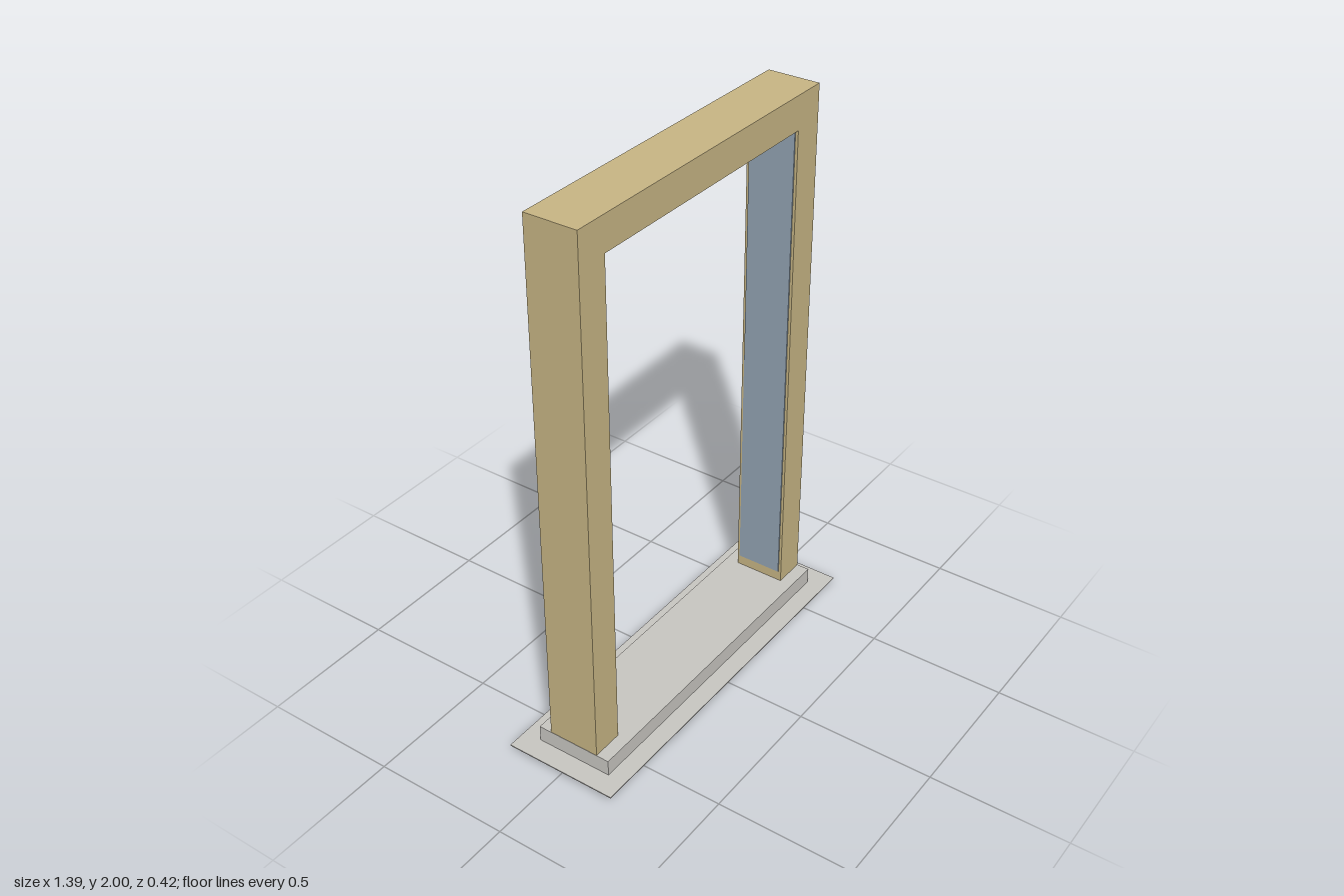
import * as THREE from 'three';

export function createModel() {
  const group = new THREE.Group();
  group.name = 'doorFrame';

  const material = (name, color) => {
    const m = new THREE.MeshStandardMaterial({ color });
    m.name = name;
    return m;
  };
  const wood = material('paleWood', 0xc8b685);
  const stone = material('greyStone', 0xc9c7c2);
  const lining = material('blueGreyLining', 0x93a4b3);

  // Box given by its limits in x, y and z
  const box = (name, mat, [x0, x1], [y0, y1], [z0, z1]) => {
    const mesh = new THREE.Mesh(new THREE.BoxGeometry(x1 - x0, y1 - y0, z1 - z0), mat);
    mesh.position.set((x0 + x1) / 2, (y0 + y1) / 2, (z0 + z1) / 2);
    mesh.name = name;
    group.add(mesh);
    return mesh;
  };

  const outer = 0.617, inner = 0.5, depth = 0.095, headBottom = 1.88;

  // Surround: a single upside-down U extruded through the wall depth
  const outline = new THREE.Shape([
    [-outer, 0], [-inner, 0], [-inner, headBottom], [inner, headBottom],
    [inner, 0], [outer, 0], [outer, 2], [-outer, 2],
  ].map(([x, y]) => new THREE.Vector2(x, y)));
  const surround = new THREE.Mesh(
    new THREE.ExtrudeGeometry(outline, { depth: 2 * depth, bevelEnabled: false }), wood);
  surround.position.z = -depth;
  surround.name = 'surround';
  group.add(surround);

  // Thin lining plates on the inside of the posts and head
  const plate = 0.004, liningDepth = [-0.085, 0.085];
  box('leftLining', lining, [inner - plate, inner], [0.12, headBottom], liningDepth);
  box('rightLining', lining, [-inner, -inner + plate], [0.12, headBottom], liningDepth);
  box('headLining', lining, [-inner, inner], [headBottom - plate, headBottom], liningDepth);

  // Threshold step, its underside just above the post feet
  box('threshold', stone, [-outer - 0.001, outer + 0.001], [0.001, 0.08], [-0.143, 0.143]);

  // Thin flat apron around the step
  const apron = box('apron', stone, [-0.695, 0.695], [0.016, 0.02], [-0.21, 0.21]);
  apron.name = 'apron';

  return group;
}
